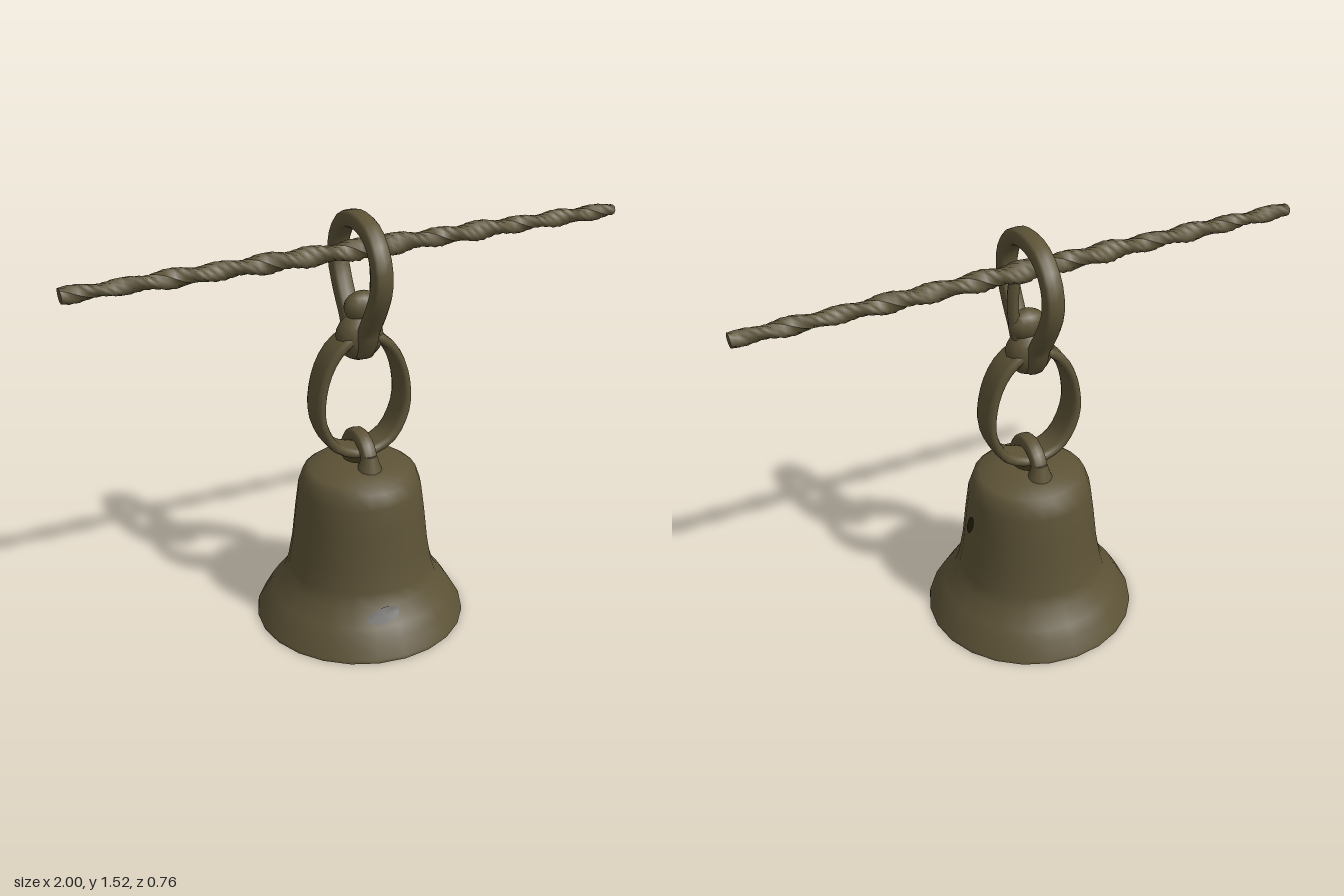
import * as THREE from 'three';

const bronze = new THREE.MeshStandardMaterial({ color: 0x5c5236, name: 'bronze' });
const darkBronze = new THREE.MeshStandardMaterial({ color: 0x28240f, name: 'dark bronze', side: THREE.DoubleSide });
const lightStain = new THREE.MeshStandardMaterial({ color: 0x5c5236, name: 'bronze stain', side: THREE.DoubleSide });

// bell outline as [radius, height], from the lip up to the crown
const PROFILE = [[0.38, 0], [0.378, 0.012], [0.345, 0.07], [0.322, 0.105], [0.278, 0.16], [0.262, 0.21],
  [0.246, 0.3], [0.233, 0.42], [0.22, 0.52], [0.203, 0.57], [0.18, 0.588], [0.125, 0.61], [0.06, 0.62], [0, 0.622]];

function radiusAt(y) {
  for (let i = 1; i < PROFILE.length; i++) {
    const [r0, y0] = PROFILE[i - 1], [r1, y1] = PROFILE[i];
    if (y <= y1) return r0 + (r1 - r0) * (y - y0) / (y1 - y0);
  }
  return 0;
}

// closed planar link: right half of its centre line (bottom to top) is mirrored,
// then swept with a rounded-rectangle section
function linkGeometry(half, thick, depth, segments = 32, sides = 12) {
  const right = half.map(([x, y]) => new THREE.Vector3(x, y, 0));
  const left = half.slice(1, -1).reverse().map(([x, y]) => new THREE.Vector3(-x, y, 0));
  const curve = new THREE.CatmullRomCurve3([...right, ...left], true);
  const soft = v => Math.sign(v) * Math.abs(v) ** 0.6;
  const pos = [], index = [];
  for (let i = 0; i < segments; i++) {
    const p = curve.getPointAt(i / segments), t = curve.getTangentAt(i / segments);
    for (let j = 0; j < sides; j++) {
      const a = j / sides * Math.PI * 2;
      const out = thick * soft(Math.cos(a));
      pos.push(p.x + t.y * out, p.y - t.x * out, depth * soft(Math.sin(a)));
      const i2 = (i + 1) % segments, j2 = (j + 1) % sides;
      const A = i * sides + j, B = i2 * sides + j, C = i2 * sides + j2, D = i * sides + j2;
      index.push(A, B, D, B, C, D);
    }
  }
  const g = new THREE.BufferGeometry();
  g.setAttribute('position', new THREE.Float32BufferAttribute(pos, 3));
  g.setIndex(index);
  g.computeVertexNormals();
  return g;
}

// oval stain wrapped on the bell wall
function stainGeometry(angle, y, w, h, tilt, offset) {
  const g = new THREE.CircleGeometry(1, 14);
  g.scale(w / 2, h / 2, 1).rotateZ(tilt);
  const p = g.attributes.position;
  for (let i = 0; i < p.count; i++) {
    const h2 = y + p.getY(i), a = angle + p.getX(i) / radiusAt(y), r = radiusAt(h2) + offset;
    p.setXYZ(i, r * Math.sin(a), h2, r * Math.cos(a));
  }
  g.computeVertexNormals();
  return g;
}

// twisted oval bar along x, slimmer at its ends
function rodGeometry() {
  const g = new THREE.CylinderGeometry(1, 1, 2, 10, 72);
  const p = g.attributes.position, v = new THREE.Vector3(), up = new THREE.Vector3(0, 1, 0);
  for (let i = 0; i < p.count; i++) {
    v.fromBufferAttribute(p, i);
    const x = v.y, r = 0.04 - 0.011 * Math.abs(x) + 0.002 * Math.sin(x * 17);
    v.set(v.x * r, 0, v.z * r * 0.72).applyAxisAngle(up, x * 20);
    p.setXYZ(i, v.x, x, v.z);
  }
  g.computeVertexNormals();
  return g.rotateZ(-Math.PI / 2);
}

export function createModel() {
  const model = new THREE.Group();
  model.name = 'hangingBell';
  const add = (name, geometry, material = bronze, x = 0, y = 0, z = 0) => {
    const mesh = new THREE.Mesh(geometry, material);
    mesh.name = name;
    mesh.position.set(x, y, z);
    model.add(mesh);
    return mesh;
  };

  // bell wall, and dark lining
  const outer = PROFILE.map(([r, y]) => new THREE.Vector2(r, y));
  const inner = PROFILE.map(([r, y]) => new THREE.Vector2(Math.max(0, r - 0.015), y < 0.5 ? y : y - 0.015)).reverse();
  inner.push(new THREE.Vector2(0.38, 0));
  add('bellBody', new THREE.LatheGeometry(outer, 24));
  add('bellLining', new THREE.LatheGeometry(inner, 24), darkBronze);

  // worn patches
  for (const [angle, y, w, h, tilt] of [[-0.15, 0.14, 0.12, 0.045, 0.15], [Math.PI / 2, 0.42, 0.04, 0.085, -0.35]]) {
    add('outerPatch', stainGeometry(angle, y, w, h, tilt, 0.004), darkBronze);
    add('innerPatch', stainGeometry(angle, y, w, h, tilt, -0.024), lightStain);
  }
  add('crownPatch', new THREE.CircleGeometry(0.06, 16).rotateX(-Math.PI / 2), darkBronze, 0, 0.625, 0);

  // eye on the crown, with flared feet
  const eye = linkGeometry([[0, 0.56], [0.06, 0.57], [0.086, 0.62], [0.055, 0.685], [0, 0.705]], 0.024, 0.027);
  add('crownEye', eye).rotation.y = Math.PI / 2;
  for (const s of [-1, 1]) {
    add('eyeFoot', new THREE.CylinderGeometry(0.025, 0.05, 0.07, 12), bronze, 0, 0.63, s * 0.082);
  }

  // broad lower ring
  add('lowerRing', linkGeometry([[0, 0.655], [0.1, 0.69], [0.153, 0.78], [0.163, 0.86], [0.138, 0.98],
    [0.085, 1.06], [0, 1.1]], 0.018, 0.057));

  // upper drop-shaped ring around the rod
  add('upperRing', linkGeometry([[0, 1.035], [0.045, 1.05], [0.075, 1.13], [0.125, 1.21], [0.168, 1.31],
    [0.16, 1.39], [0.1, 1.465], [0, 1.49]], 0.03, 0.034)).rotation.y = Math.PI / 2;

  // knot joining the rings
  add('knot', new THREE.SphereGeometry(1, 14, 10).scale(0.085, 0.085, 0.07), bronze, 0, 1.085, 0);
  add('upperKnot', new THREE.SphereGeometry(1, 12, 8).scale(0.068, 0.055, 0.045), bronze, 0.01, 1.19, 0);

  // hook from the knot up to the rod
  const hook = new THREE.CatmullRomCurve3([[0.03, 1.1], [0.055, 1.2], [0.06, 1.3], [0.05, 1.38]]
    .map(([x, y]) => new THREE.Vector3(x, y, 0)));
  add('hook', new THREE.TubeGeometry(hook, 12, 0.021, 8));

  // twisted hanging rod
  add('rod', rodGeometry(), bronze, 0, 1.39, -0.005);
  return model;
}
